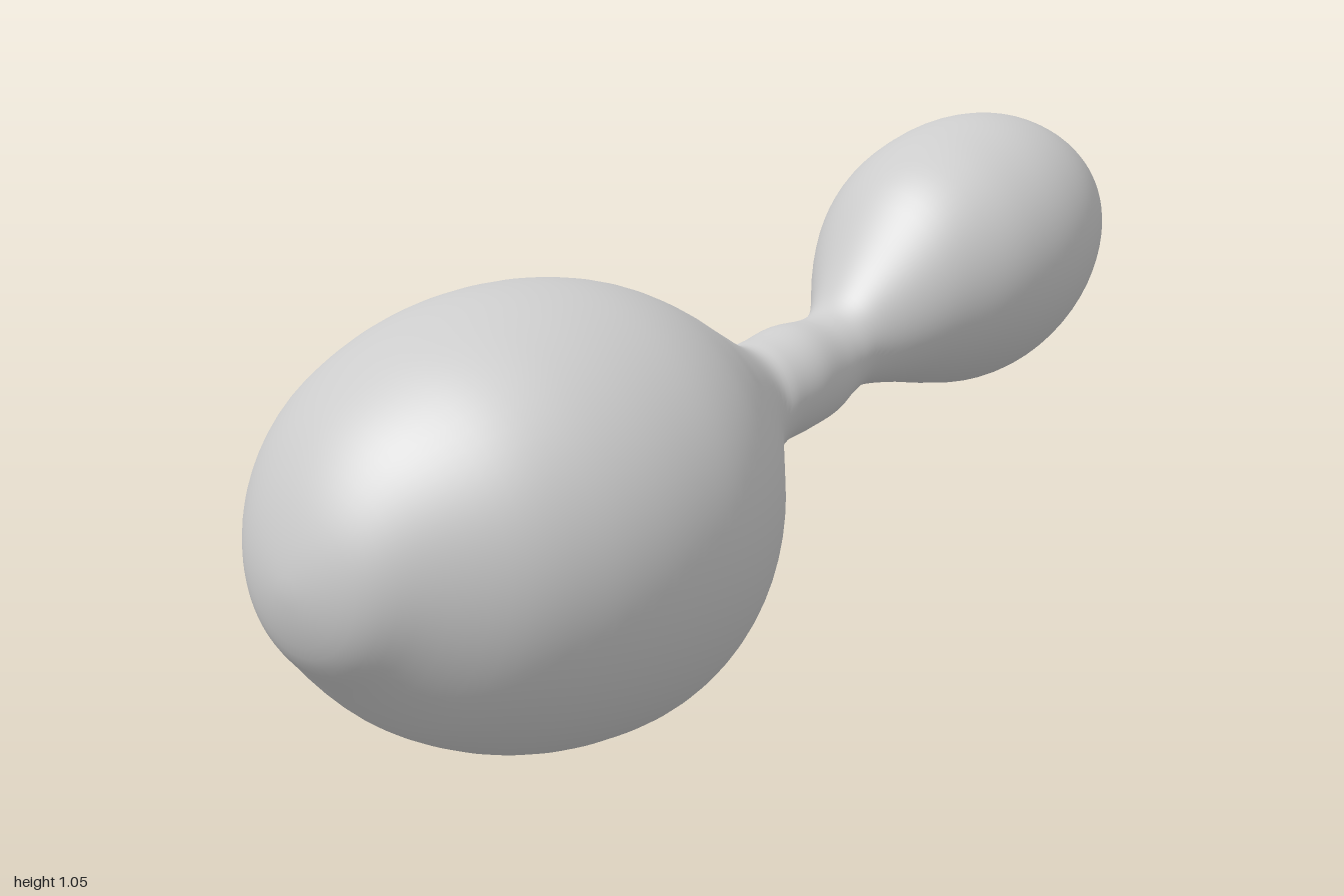
import * as THREE from 'three';
import { mergeVertices } from 'three/addons/utils/BufferGeometryUtils.js';

// Cross-sections along x: x, top y, bottom y, back z, front z
const SECTIONS = [
  // large lobe
  [-1, 0.37, 0.37, -0.02, -0.02],
  [-0.97, 0.495, 0.255, -0.15, 0.11],
  [-0.9, 0.61, 0.18, -0.26, 0.21],
  [-0.8, 0.7, 0.09, -0.36, 0.32],
  [-0.7, 0.757, 0.038, -0.41, 0.385],
  [-0.6, 0.792, 0.01, -0.437, 0.422],
  [-0.5, 0.808, 0.001, -0.443, 0.436],
  [-0.4, 0.808, 0.007, -0.43, 0.43],
  [-0.3, 0.79, 0.035, -0.395, 0.397],
  [-0.2, 0.752, 0.09, -0.325, 0.337],
  [-0.1, 0.7, 0.19, -0.21, 0.255],
  // neck
  [0, 0.647, 0.37, -0.07, 0.173],
  [0.05, 0.652, 0.44, -0.037, 0.17],
  [0.12, 0.672, 0.463, -0.03, 0.18],
  [0.2, 0.677, 0.483, -0.012, 0.173],
  [0.25, 0.7, 0.515, 0.003, 0.173],
  // small lobe
  [0.3, 0.765, 0.535, -0.01, 0.195],
  [0.4, 0.912, 0.53, -0.083, 0.28],
  [0.5, 0.987, 0.515, -0.14, 0.34],
  [0.6, 1.028, 0.507, -0.163, 0.366],
  [0.7, 1.047, 0.525, -0.163, 0.367],
  [0.8, 1.04, 0.573, -0.135, 0.342],
  [0.9, 1.0, 0.655, -0.07, 0.286],
  [0.97, 0.932, 0.747, 0.01, 0.205],
  [1, 0.84, 0.84, 0.11, 0.11],
];

// Skins smooth elliptical rings through the sections, closed at both poles
function skin(sections, steps, sides) {
  // mirrored sections beyond each pole make the ends round
  const past = ([x, t, b, k, f]) => [x, b, t, f, k];
  const rows = [past(sections[1]), ...sections, past(sections.at(-2))];
  const spline = (fn) => new THREE.CatmullRomCurve3(rows.map(fn), false, 'catmullrom', 0.5);
  const upper = spline(([x, t, , k]) => new THREE.Vector3(x, t, k));
  const lower = spline(([x, , b, , f]) => new THREE.Vector3(x, b, f));
  const spans = sections.length - 1;
  const count = spans * steps;
  const positions = [], index = [];
  for (let i = 0; i <= count; i++) {
    const t = (1 + i / steps) / (spans + 2);
    const u = upper.getPoint(t), l = lower.getPoint(t);
    const pole = i === 0 || i === count ? 0 : 1;
    for (let j = 0; j < sides; j++) {
      const a = (j / sides) * Math.PI * 2;
      positions.push(
        u.x,
        (u.y + l.y) / 2 + (pole * (u.y - l.y) / 2) * Math.cos(a),
        (u.z + l.z) / 2 + (pole * (l.z - u.z) / 2) * Math.sin(a),
      );
      if (i === count) continue;
      const p = i * sides + j, q = i * sides + ((j + 1) % sides);
      if (i > 0) index.push(p, q, p + sides);
      if (i < count - 1) index.push(q, q + sides, p + sides);
    }
  }
  const geometry = new THREE.BufferGeometry();
  geometry.setAttribute('position', new THREE.Float32BufferAttribute(positions, 3));
  geometry.setIndex(index);
  const merged = mergeVertices(geometry, 1e-5);
  merged.computeVertexNormals();
  return merged;
}

export function createModel() {
  const group = new THREE.Group();
  const body = new THREE.Mesh(
    skin(SECTIONS, 5, 72),
    new THREE.MeshStandardMaterial({ color: 0xcccccc }),
  );
  body.name = 'twoLobedBody';
  group.add(body);
  return group;
}
